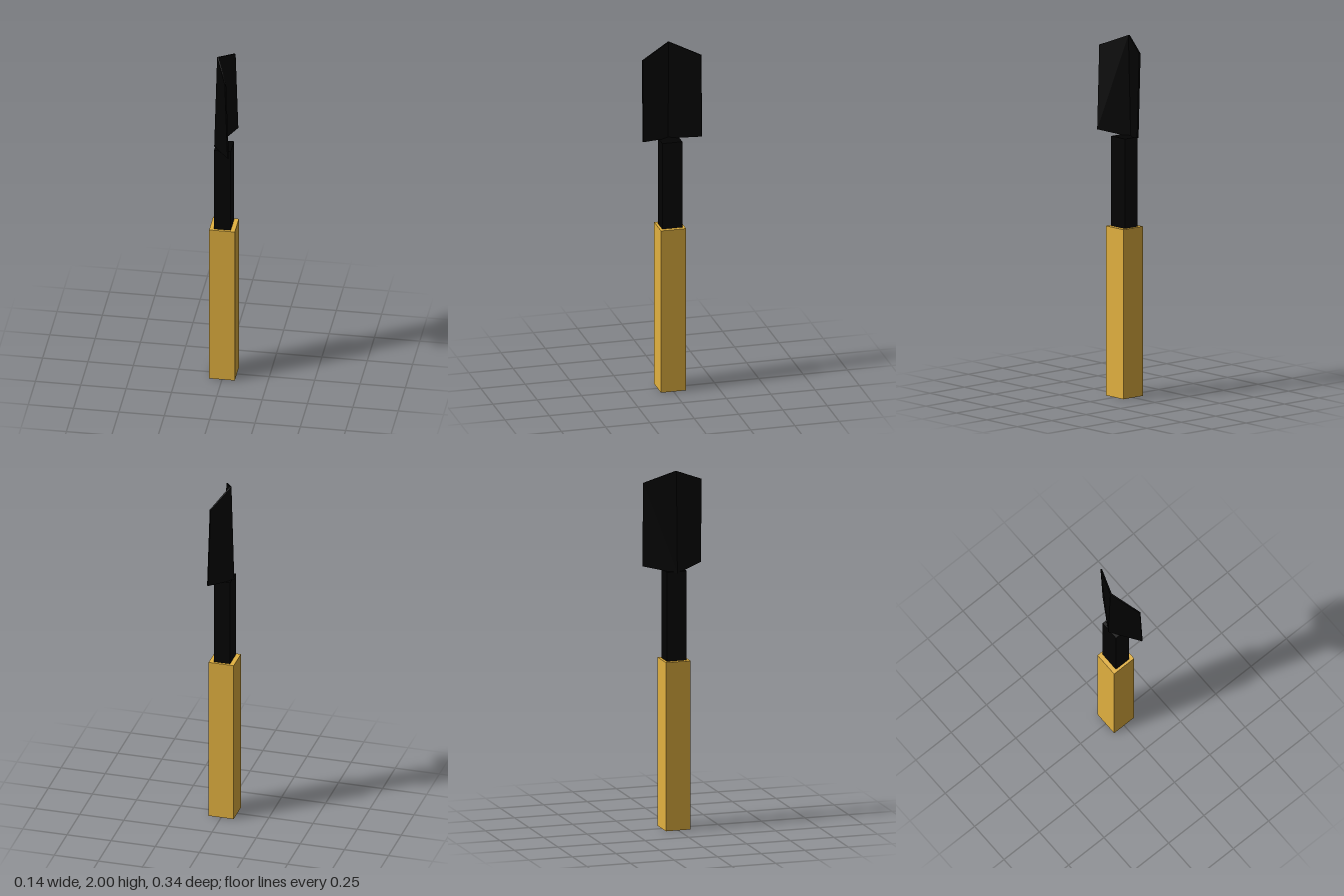
import * as THREE from 'three';

// Bent sheet cross-section, walked round: outer V, then inner V
function ring(spineX, edgeX, spineY, edgeY) {
  const inX = 0.009, tipX = 0.007, tipZ = 0.168, inZ = 0.164;
  return [
    [edgeX, edgeY, -tipZ], [spineX, spineY, 0], [edgeX, edgeY, tipZ],
    [edgeX + tipX, edgeY, inZ], [spineX + inX, spineY, 0], [edgeX + tipX, edgeY, -inZ],
  ];
}

function bladeGeometry() {
  const bottom = ring(-0.054, 0.046, 1.432, 1.462);
  const top = ring(-0.038, 0.031, 2.0, 1.93);
  const positions = [];
  const quad = (a, b, c, d) => [a, b, c, a, c, d].forEach((p) => positions.push(...p));
  // Walls; the front inner wall is split like its outer wall so the sheet never crosses itself
  for (let i = 0; i < 6; i++) {
    const j = (i + 1) % 6;
    if (i === 3) quad(bottom[i], bottom[j], top[j], top[i]);
    else quad(bottom[j], top[j], top[i], bottom[i]);
  }
  // Top and bottom rims
  for (const [a, b, c, d] of [[0, 1, 4, 5], [1, 2, 3, 4]]) {
    quad(top[a], top[b], top[c], top[d]);
    quad(bottom[d], bottom[c], bottom[b], bottom[a]);
  }
  const geometry = new THREE.BufferGeometry();
  geometry.setAttribute('position', new THREE.Float32BufferAttribute(positions, 3));
  geometry.computeVertexNormals();
  return geometry;
}

export function createModel() {
  const model = new THREE.Group();
  model.name = 'handTrowel';
  const wood = new THREE.MeshStandardMaterial({ color: 0xe3b240 });
  wood.name = 'golden wood';
  const metal = new THREE.MeshStandardMaterial({ color: 0x020202 });
  metal.name = 'black metal';

  const add = (name, geometry, material, y = 0) => {
    const mesh = new THREE.Mesh(geometry, material);
    mesh.name = name;
    mesh.position.y = y;
    model.add(mesh);
  };

  // Square grip, narrower shaft, then the folded blade
  add('handle', new THREE.BoxGeometry(0.142, 0.942, 0.142), wood, 0.471);
  add('shaft', new THREE.BoxGeometry(0.092, 0.5, 0.113), metal, 1.19);
  add('blade', bladeGeometry(), metal);
  return model;
}
